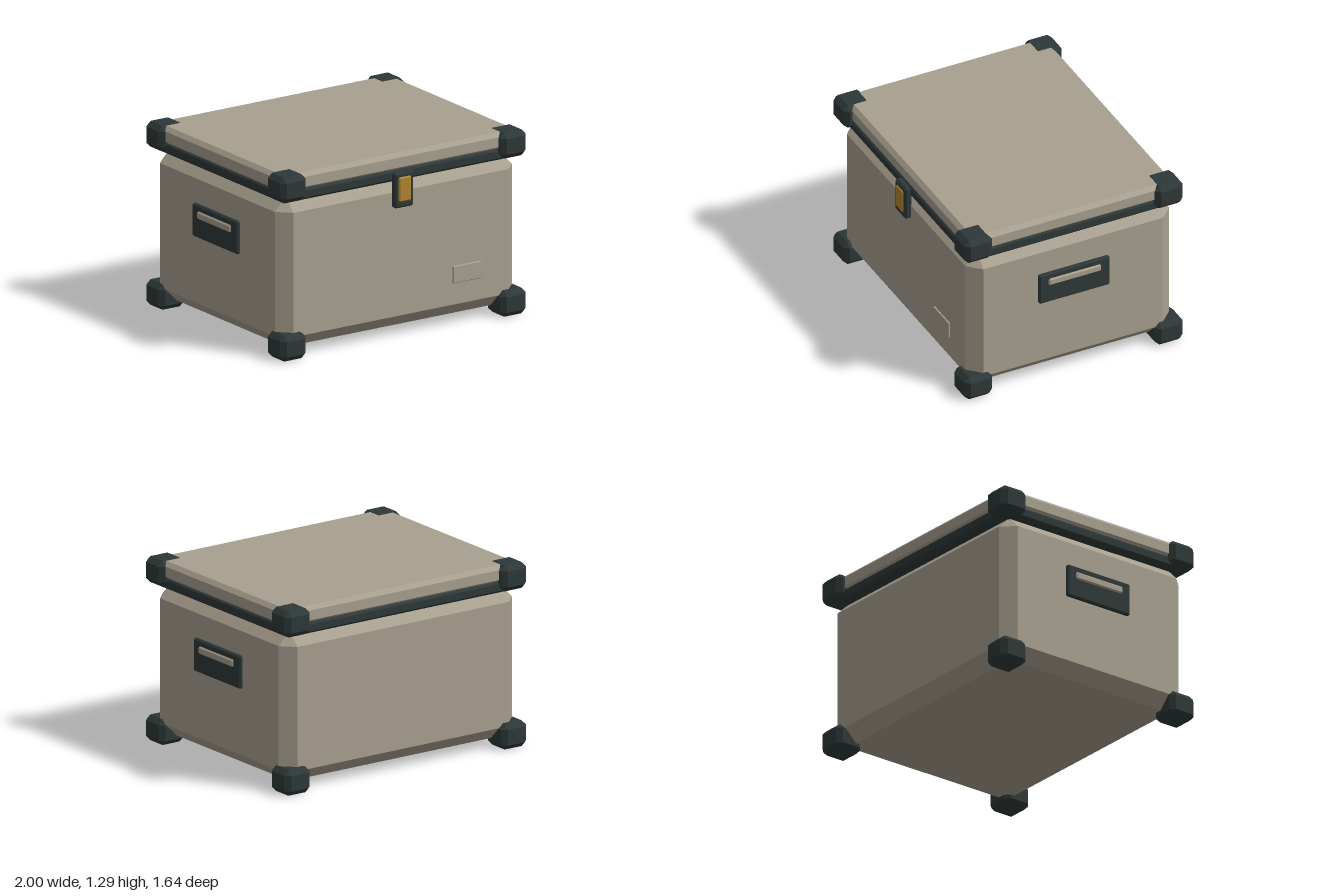
import * as THREE from 'three';
import { ConvexGeometry } from 'three/addons/geometries/ConvexGeometry.js';

const paint = (name, color) => {
  const m = new THREE.MeshStandardMaterial({ color });
  m.name = name;
  return m;
};

// Box with all edges and corners cut flat by c
function chamferedBox(w, h, d, c) {
  const points = [];
  for (const sx of [-1, 1]) for (const sy of [-1, 1]) for (const sz of [-1, 1]) {
    const x = w / 2, y = h / 2, z = d / 2;
    points.push(
      new THREE.Vector3(sx * x, sy * (y - c), sz * (z - c)),
      new THREE.Vector3(sx * (x - c), sy * y, sz * (z - c)),
      new THREE.Vector3(sx * (x - c), sy * (y - c), sz * z)
    );
  }
  return new ConvexGeometry(points);
}

export function createModel() {
  const crate = new THREE.Group();
  crate.name = 'storageCrate';
  const shell = paint('warmGrey', 0xa8a08f);
  const dark = paint('darkSlate', 0x2e3838);
  const brass = paint('brass', 0xb08433);

  // Adds a chamfered box spanning the given ranges
  function add(name, material, [x0, x1], [y0, y1], [z0, z1], c) {
    const mesh = new THREE.Mesh(chamferedBox(x1 - x0, y1 - y0, z1 - z0, c), material);
    mesh.position.set((x0 + x1) / 2, (y0 + y1) / 2, (z0 + z1) / 2);
    mesh.name = name;
    crate.add(mesh);
  }

  // Main volumes
  add('body', shell, [-0.965, 0.965], [0.06, 1.11], [-0.765, 0.765], 0.09);
  add('rimSeal', dark, [-0.96, 0.96], [1.097, 1.175], [-0.77, 0.77], 0.015);
  add('lid', shell, [-0.965, 0.965], [1.16, 1.285], [-0.767, 0.767], 0.028);

  // Corner guards on the lid and feet at the base
  for (const sx of [-1, 1]) for (const sz of [-1, 1]) {
    const x = [sx * 0.895 - 0.105, sx * 0.895 + 0.105];
    const z = [sz * 0.715 - 0.105, sz * 0.715 + 0.105];
    add('lidCorner', dark, x, [1.107, 1.288], z, 0.035);
    add('foot', dark, x, [0, 0.18], z, 0.035);
  }

  // Front latch
  add('latchPlate', dark, [-0.077, 0.077], [0.917, 1.165], [0.755, 0.81], 0.013);
  add('latchTab', brass, [-0.053, 0.053], [0.957, 1.137], [0.785, 0.819], 0.012);

  // Side handles
  for (const s of [-1, 1]) {
    add('handlePlate', dark, [s * 0.97 - 0.02, s * 0.97 + 0.02], [0.62, 0.85], [-0.265, 0.265], 0.01);
    add('handleGrip', shell, [s * 0.985 - 0.015, s * 0.985 + 0.015], [0.756, 0.81], [-0.197, 0.197], 0.01);
  }

  // Front label plate
  add('labelPlate', shell, [0.42, 0.65], [0.3, 0.42], [0.755, 0.776], 0.004);

  return crate;
}
